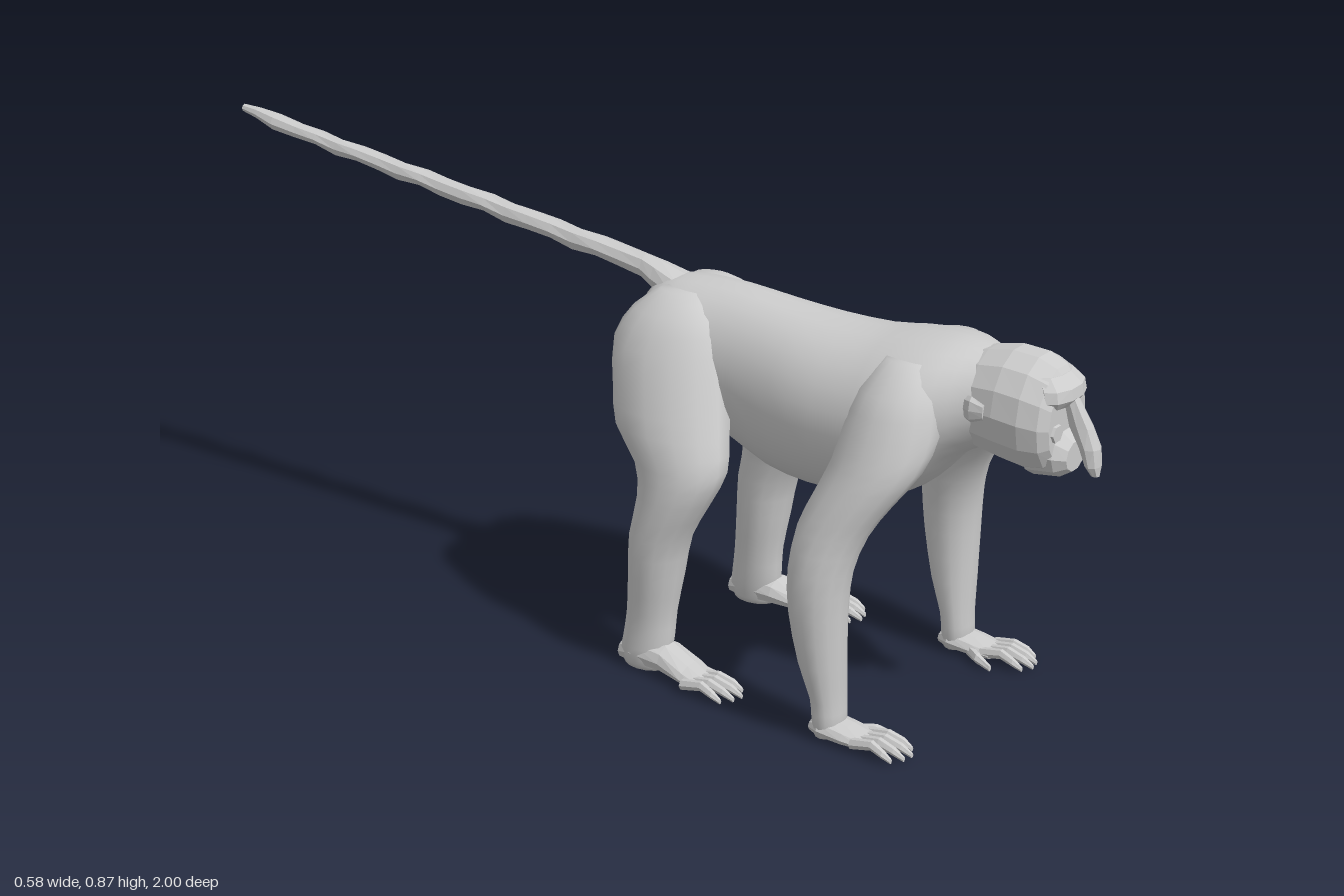
import * as THREE from 'three';

const smooth = new THREE.MeshStandardMaterial({ color: 0xcccccc, side: THREE.DoubleSide });
const faceted = new THREE.MeshStandardMaterial({ color: 0xcccccc, side: THREE.DoubleSide, flatShading: true });

// Refine rows of section numbers with a Catmull-Rom blend
function refine(rows, steps) {
  const out = [];
  for (let i = 0; i < rows.length - 1; i++) {
    const [a, b, c, d] = [rows[Math.max(i - 1, 0)], rows[i], rows[i + 1], rows[Math.min(i + 2, rows.length - 1)]];
    for (let s = 0; s < steps; s++) {
      const t = s / steps;
      out.push(b.map((v, k) => 0.5 * (2 * v + (c[k] - a[k]) * t + (2 * a[k] - 5 * v + 4 * c[k] - d[k]) * t * t
        + (3 * v - a[k] - 3 * c[k] + d[k]) * t * t * t)));
    }
  }
  out.push(rows[rows.length - 1]);
  return out;
}

// Loft ellipses along an axis.
// axis 'z': rows are [z, x, y, rx, ry]; axis 'y': rows are [y, x, z, rx, rz]. Rows ascend.
function loft(name, axis, rows, sides = 14, material = smooth, steps = 2) {
  const rings = refine(rows, steps);
  const pos = [], index = [];
  const put = (h, x, v) => (axis === 'z' ? pos.push(x, v, h) : pos.push(x, h, v));
  const turn = axis === 'z' ? 1 : -1;
  for (const [h, x, v, rx, rv] of rings) {
    for (let j = 0; j < sides; j++) {
      const a = (j / sides) * Math.PI * 2;
      put(h, x + Math.cos(a) * rx, v + turn * Math.sin(a) * rv);
    }
  }
  for (let i = 0; i < rings.length - 1; i++) {
    for (let j = 0; j < sides; j++) {
      const a = i * sides + j, b = i * sides + (j + 1) % sides;
      index.push(a, b, b + sides, a, b + sides, a + sides);
    }
  }
  // End caps
  const first = rings.length * sides, end = first - sides;
  const last = rings[rings.length - 1];
  put(...rings[0]);
  put(...last);
  for (let j = 0; j < sides; j++) {
    const k = (j + 1) % sides;
    index.push(first, k, j, first + 1, end + j, end + k);
  }
  const geometry = new THREE.BufferGeometry();
  geometry.setAttribute('position', new THREE.Float32BufferAttribute(pos, 3));
  geometry.setIndex(index);
  geometry.computeVertexNormals();
  const mesh = new THREE.Mesh(geometry, material);
  mesh.name = name;
  return mesh;
}

// Four arched digits and an inward thumb; s mirrors the side
function digits(group, name, s, x, z, length, thumbZ) {
  for (let i = 0; i < 4; i++) {
    const x0 = x + (i - 1.5) * 0.018, x1 = x + (i - 1.5) * 0.021;
    const len = length * [0.85, 1, 0.95, 0.78][i];
    group.add(loft(name, 'z', [
      [z - 0.02, s * x0, 0.02, 0.01, 0.011],
      [z + len * 0.35, s * x0, 0.029, 0.009, 0.01],
      [z + len * 0.75, s * x1, 0.021, 0.008, 0.008],
      [z + len, s * x1, 0.012, 0.004, 0.005],
    ], 6, faceted, 1));
  }
  group.add(loft(name + 'Thumb', 'z', [
    [thumbZ, s * (x - 0.022), 0.018, 0.012, 0.012],
    [thumbZ + 0.035, s * (x - 0.048), 0.018, 0.011, 0.01],
    [thumbZ + 0.07, s * (x - 0.06), 0.01, 0.005, 0.006],
  ], 6, faceted, 1));
}

function makeArm(s) {
  const arm = new THREE.Group();
  arm.name = s > 0 ? 'leftArm' : 'rightArm';
  const rows = [
    [0.01, 0.228, 0.605, 0.032, 0.025], [0.04, 0.228, 0.605, 0.038, 0.03],
    [0.08, 0.228, 0.602, 0.04, 0.031], [0.15, 0.232, 0.59, 0.048, 0.043],
    [0.25, 0.235, 0.58, 0.055, 0.054], [0.33, 0.23, 0.58, 0.058, 0.06],
    [0.40, 0.213, 0.592, 0.058, 0.068], [0.46, 0.193, 0.62, 0.06, 0.076],
    [0.52, 0.163, 0.648, 0.069, 0.086], [0.58, 0.13, 0.655, 0.08, 0.09],
    [0.65, 0.112, 0.66, 0.065, 0.075], [0.70, 0.09, 0.66, 0.03, 0.04],
  ];
  arm.add(loft('foreLimb', 'y', rows.map(([y, x, ...r]) => [y, s * x, ...r])));
  arm.add(loft('hand', 'z', [
    [0.572, s * 0.228, 0.02, 0.02, 0.012], [0.60, s * 0.228, 0.026, 0.038, 0.022],
    [0.65, s * 0.228, 0.022, 0.038, 0.018], [0.69, s * 0.228, 0.019, 0.034, 0.012],
  ], 10, faceted, 1));
  digits(arm, 'finger', s, 0.23, 0.69, 0.085, 0.64);
  return arm;
}

function makeLeg(s) {
  const leg = new THREE.Group();
  leg.name = s > 0 ? 'leftLeg' : 'rightLeg';
  const rows = [
    [0.005, 0.185, 0.165, 0.032, 0.045], [0.03, 0.185, 0.165, 0.04, 0.053],
    [0.07, 0.182, 0.17, 0.042, 0.053], [0.12, 0.18, 0.175, 0.045, 0.05],
    [0.20, 0.18, 0.185, 0.055, 0.054], [0.28, 0.18, 0.195, 0.061, 0.06],
    [0.36, 0.175, 0.222, 0.062, 0.075], [0.42, 0.16, 0.225, 0.069, 0.096],
    [0.48, 0.14, 0.19, 0.079, 0.12], [0.55, 0.113, 0.168, 0.084, 0.123],
    [0.62, 0.09, 0.15, 0.08, 0.12], [0.68, 0.072, 0.15, 0.06, 0.09], [0.715, 0.055, 0.145, 0.025, 0.04],
  ];
  leg.add(loft('hindLimb', 'y', rows.map(([y, x, ...r]) => [y, s * x, ...r])));
  leg.add(loft('foot', 'z', [
    [0.115, s * 0.185, 0.025, 0.025, 0.02], [0.15, s * 0.185, 0.035, 0.038, 0.033],
    [0.22, s * 0.188, 0.034, 0.04, 0.028], [0.28, s * 0.2, 0.024, 0.042, 0.018],
    [0.32, s * 0.212, 0.02, 0.036, 0.012],
  ], 10, faceted, 1));
  digits(leg, 'toe', s, 0.218, 0.31, 0.09, 0.25);
  return leg;
}

function makeHead() {
  const head = new THREE.Group();
  head.name = 'head';
  head.add(loft('skull', 'z', [
    [0.74, 0, 0.635, 0.075, 0.08], [0.78, 0, 0.63, 0.087, 0.096],
    [0.83, 0, 0.63, 0.094, 0.106], [0.88, 0, 0.625, 0.094, 0.108],
    [0.915, 0, 0.62, 0.083, 0.098], [0.93, 0, 0.617, 0.066, 0.08],
  ], 14, faceted, 1));
  head.add(loft('muzzle', 'z', [
    [0.88, 0, 0.565, 0.065, 0.054], [0.93, 0, 0.561, 0.052, 0.044], [0.95, 0, 0.558, 0.034, 0.028],
  ], 10, faceted, 1));
  head.add(loft('brow', 'y', [
    [0.65, 0, 0.92, 0.05, 0.018], [0.665, 0, 0.92, 0.064, 0.03],
    [0.685, 0, 0.915, 0.062, 0.032], [0.705, 0, 0.9, 0.05, 0.025],
  ], 10, faceted, 1));
  // Long drooping nose
  head.add(loft('nose', 'y', [
    [0.53, 0, 0.99, 0.008, 0.008], [0.548, 0, 0.985, 0.019, 0.014], [0.58, 0, 0.977, 0.021, 0.02],
    [0.615, 0, 0.958, 0.017, 0.025], [0.665, 0, 0.935, 0.012, 0.015],
  ], 8, faceted, 1));
  for (const s of [-1, 1]) {
    const cheek = loft('cheek', 'z', [
      [0.89, s * 0.042, 0.61, 0.024, 0.025], [0.935, s * 0.04, 0.607, 0.018, 0.016],
    ], 6, faceted, 1);
    const ear = loft('ear', 'z', [
      [0.775, s * 0.083, 0.635, 0.01, 0.022], [0.79, s * 0.089, 0.635, 0.011, 0.024],
      [0.815, s * 0.09, 0.635, 0.005, 0.014],
    ], 8, faceted, 1);
    head.add(cheek, ear);
  }
  return head;
}

// Long straight tail with a slightly uneven outline
function makeTail() {
  const rows = [[-1, 0, 0.866, 0.009, 0.008], [-0.96, 0, 0.861, 0.014, 0.012], [-0.91, 0, 0.85, 0.021, 0.018]];
  for (let i = 0; i <= 16; i++) {
    const z = -0.85 + i * 0.055, wave = Math.sin(i * 2.3) * 0.002;
    rows.push([z, wave, 0.73 - z * 0.131 + wave, 0.019 + i * 0.0004 + wave, 0.016 + i * 0.0004 - wave]);
  }
  rows.push([0.06, 0, 0.712, 0.032, 0.03], [0.12, 0, 0.695, 0.045, 0.03]);
  return loft('tail', 'z', rows, 8, faceted, 1);
}

export function createModel() {
  const model = new THREE.Group();
  model.name = 'monkey';
  model.add(loft('torso', 'z', [
    [0.045, 0, 0.63, 0.03, 0.04], [0.06, 0, 0.625, 0.075, 0.075],
    [0.10, 0, 0.61, 0.11, 0.112], [0.16, 0, 0.6, 0.122, 0.13],
    [0.25, 0, 0.585, 0.117, 0.146], [0.35, 0, 0.56, 0.132, 0.162],
    [0.45, 0, 0.552, 0.157, 0.162], [0.55, 0, 0.556, 0.173, 0.158],
    [0.62, 0, 0.568, 0.182, 0.156], [0.68, 0, 0.592, 0.17, 0.138],
    [0.73, 0, 0.62, 0.135, 0.11], [0.78, 0, 0.63, 0.09, 0.09], [0.84, 0, 0.63, 0.06, 0.07],
  ], 24));
  for (const s of [-1, 1]) model.add(makeArm(s), makeLeg(s));
  model.add(makeHead(), makeTail());
  return model;
}
